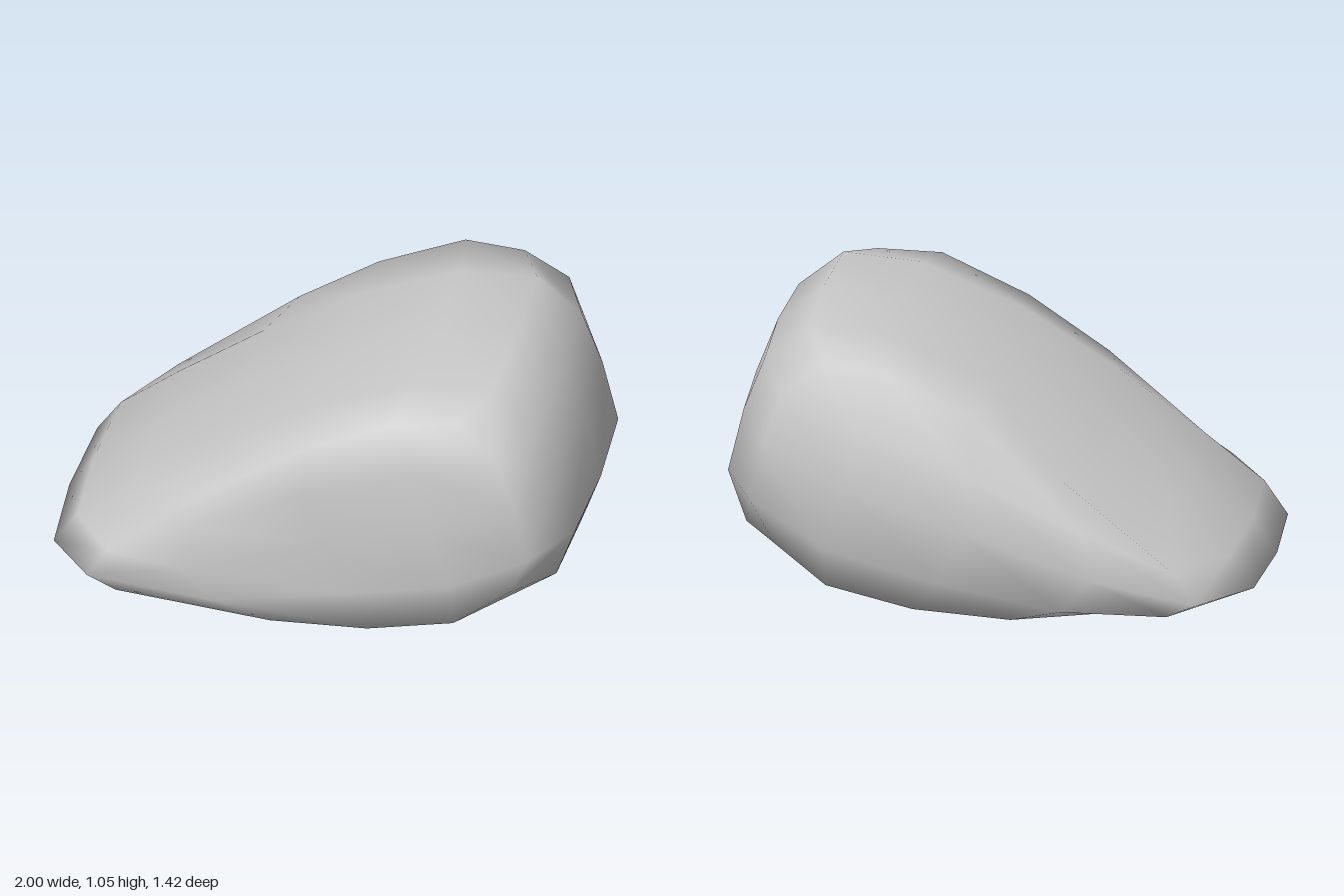
import * as THREE from 'three';

// Side outline, clockwise from the top right corner, four steps per side
const OUTLINE = [
  [0.69, 1.05], [0.86, 0.91], [0.94, 0.7], [1, 0.45],
  [0.93, 0.25], [0.66, 0.1], [0.27, 0.02], [-0.17, 0],
  [-0.57, 0.03], [-0.87, 0.055], [-1, 0.11], [-0.91, 0.24],
  [-0.68, 0.42], [-0.36, 0.65], [0, 0.87], [0.39, 1.03],
];
const N = OUTLINE.length;

// Rings from back to front: depth, shrink in x, shrink in y
const RINGS = [
  [-0.58, 0.83, 0.91], [-0.31, 0.98, 0.985], [0.06, 1, 1],
  [0.43, 0.98, 0.985], [0.65, 0.83, 0.91],
];
const CENTRE = [0.15, 0.4];
const STEPS = [0, 0.21, 0.5, 0.79, 1];

export function createModel() {
  const points = [];
  const index = [];
  const quad = (a, b, c, d) => index.push(a, b, c, a, c, d);
  const add = (x, y, z) => points.push(new THREE.Vector3(x, y, z)) - 1;

  // Body shell: end rings are drawn in a little at the four corners
  RINGS.forEach(([z, sx, sy], k) => {
    const end = k === 0 || k === 4;
    OUTLINE.forEach(([x, y], i) => {
      const pull = end && i % 4 === 0 ? 0.03 : 0;
      add(CENTRE[0] + (x - CENTRE[0]) * (sx - pull),
        CENTRE[1] + (y - CENTRE[1]) * sy,
        z - Math.sign(z) * pull * 1.5);
    });
  });
  for (let k = 0; k < 4; k++) {
    for (let i = 0; i < N; i++) {
      const j = (i + 1) % N;
      quad(k * N + i, (k + 1) * N + i, (k + 1) * N + j, k * N + j);
    }
  }

  // Bulging end faces: a patch blended from the four sides of an end ring
  function cap(base, front) {
    const rim = (r, c) => {
      if (c === 4) return base + r;
      if (r === 4) return base + 8 - c;
      if (c === 0) return base + 12 - r;
      return base + ((12 + c) % N);
    };
    const P = (r, c) => points[r === 0 && c === 0 ? base + 12 : rim(r, c)];
    const grid = [];
    for (let r = 0; r < 5; r++) {
      grid.push([]);
      for (let c = 0; c < 5; c++) {
        if (r % 4 === 0 || c % 4 === 0) {
          grid[r].push(rim(r, c));
          continue;
        }
        const u = STEPS[c], v = STEPS[r];
        const blend = (axis) =>
          (1 - u) * P(r, 0)[axis] + u * P(r, 4)[axis] +
          (1 - v) * P(0, c)[axis] + v * P(4, c)[axis] -
          (1 - u) * (1 - v) * P(0, 0)[axis] - u * (1 - v) * P(0, 4)[axis] -
          (1 - u) * v * P(4, 0)[axis] - u * v * P(4, 4)[axis];
        const rise = r === 2 ? 0.71 : 0.695;
        const z = front ? (c === 2 ? 0.67 : rise) : -rise;
        grid[r].push(add(blend('x'), blend('y'), z));
      }
    }
    for (let r = 0; r < 4; r++) {
      for (let c = 0; c < 4; c++) {
        const q = [grid[r][c], grid[r + 1][c], grid[r + 1][c + 1], grid[r][c + 1]];
        quad(...(front ? q : q.reverse()));
      }
    }
  }
  cap(0, false);
  cap(4 * N, true);

  const geometry = new THREE.BufferGeometry().setFromPoints(points);
  geometry.setIndex(index);
  geometry.computeVertexNormals();

  const rock = new THREE.Mesh(geometry, new THREE.MeshStandardMaterial({ color: 0xcccccc }));
  rock.name = 'wedgeRock';
  const group = new THREE.Group();
  group.name = 'rock';
  group.add(rock);
  return group;
}
